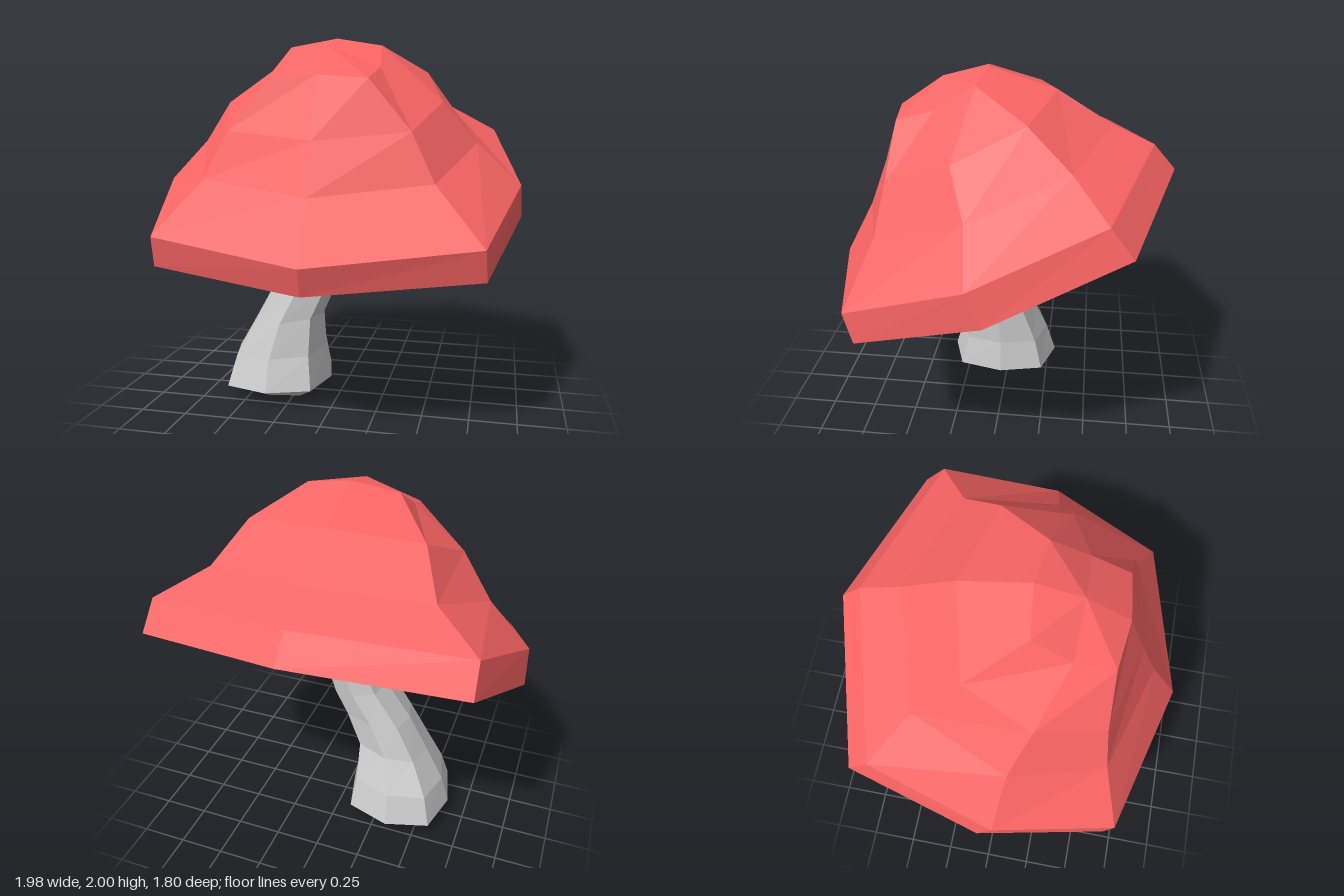
import * as THREE from 'three';

// Eight points around a centre; hx and hz are the half-width vectors towards the
// left side and the front, kx and kz place the diagonal corners, drop lowers the sides.
function ring(center, hx, hz, kx, kz, drop = 0) {
  const points = [];
  for (let i = 0; i < 8; i++) {
    const diagonal = i % 2 === 1;
    const s = Math.round(Math.sin(i * Math.PI / 4)) * (diagonal ? kx : 1);
    const c = Math.round(Math.cos(i * Math.PI / 4)) * (diagonal ? kz : 1);
    const p = center.clone().addScaledVector(hx, s).addScaledVector(hz, c);
    p.y -= drop * (diagonal ? 0.5 : Math.abs(s));
    points.push(p);
  }
  return points;
}

const v = (x, y, z) => new THREE.Vector3(x, y, z);
const tip = (x, y, z) => Array.from({ length: 8 }, () => v(x, y, z));

// Faceted skin through rings listed from bottom to top
function loft(name, rings, color) {
  const positions = [];
  const tri = (a, b, c) => {
    if (a.equals(b) || b.equals(c) || a.equals(c)) return;
    for (const p of [a, b, c]) positions.push(p.x, p.y, p.z);
  };
  for (let r = 0; r < rings.length - 1; r++) {
    for (let i = 0; i < 8; i++) {
      const j = (i + 1) % 8;
      const [a, b, c, d] = [rings[r][i], rings[r][j], rings[r + 1][j], rings[r + 1][i]];
      tri(a, b, c);
      tri(a, c, d);
    }
  }
  const geometry = new THREE.BufferGeometry();
  geometry.setAttribute('position', new THREE.Float32BufferAttribute(positions, 3));
  geometry.computeVertexNormals();
  const mesh = new THREE.Mesh(geometry, new THREE.MeshStandardMaterial({ color, flatShading: true }));
  mesh.name = name;
  return mesh;
}

// Tilted cap ring, from its front and back points in the middle plane
function capRing([fz, fy, bz, by, side, kx, kz, drop]) {
  return ring(v(0, (fy + by) / 2, (fz + bz) / 2), v(side, 0, 0),
    v(0, (fy - by) / 2, (fz - bz) / 2), kx, kz, drop);
}

export function createModel() {
  const group = new THREE.Group();
  group.name = 'mushroom';

  // Cap: lip underneath, rim, then the dome up to its peak
  const lip = capRing([0.62, 0.81, -0.70, 1.36, 0.73, 0.82, 0.75, 0.04]);
  const capRings = [
    [0.855, 0.78, -0.90, 1.49, 0.99, 0.84, 0.74, 0.07],
    [0.90, 0.92, -0.785, 1.62, 0.98, 0.84, 0.73, 0.035],
    [0.74, 1.22, -0.56, 1.72, 0.75, 0.77, 0.73, 0.015],
    [0.64, 1.48, -0.28, 1.89, 0.575, 0.8, 0.75, 0.02],
    [0.535, 1.79, 0.075, 2.0, 0.27, 0.915, 0.87, 0.06],
  ].map(capRing);
  group.add(loft('cap', [lip, ...capRings, tip(0, 1.945, 0.31)], 0xff6666));

  // Gills: shallow grey underside inside the lip
  const innerGills = capRing([0.33, 0.92, -0.42, 1.165, 0.38, 0.8, 0.75, 0.02]);
  group.add(loft('gills', [tip(0, 1.06, -0.045), innerGills, lip], 0xcccccc));

  // Stem: curved, flared at the foot; x, y, z, half width, half depth, rise towards +x
  const stemRings = [
    [-0.355, 0.035, 0.025, 0.2, 0.21, -0.01],
    [-0.35, 0.09, 0.025, 0.3, 0.325, 0.005],
    [-0.34, 0.265, 0.025, 0.26, 0.27, 0.015],
    [-0.288, 0.46, 0.05, 0.203, 0.205, 0.03],
    [-0.19, 0.655, 0.05, 0.187, 0.177, 0.02],
    [-0.08, 0.82, 0.06, 0.145, 0.175, -0.02],
    [-0.01, 1.0, 0.06, 0.13, 0.17, -0.02],
    [0.03, 1.15, 0.06, 0.12, 0.16, 0],
  ].map(([x, y, z, w, d, rise]) => ring(v(x, y, z), v(w, rise, 0), v(0, 0, d), 0.8, 0.77, 0));
  group.add(loft('stem', [tip(-0.36, 0, 0.025), ...stemRings, tip(0.03, 1.17, 0.06)], 0xcccccc));

  return group;
}
